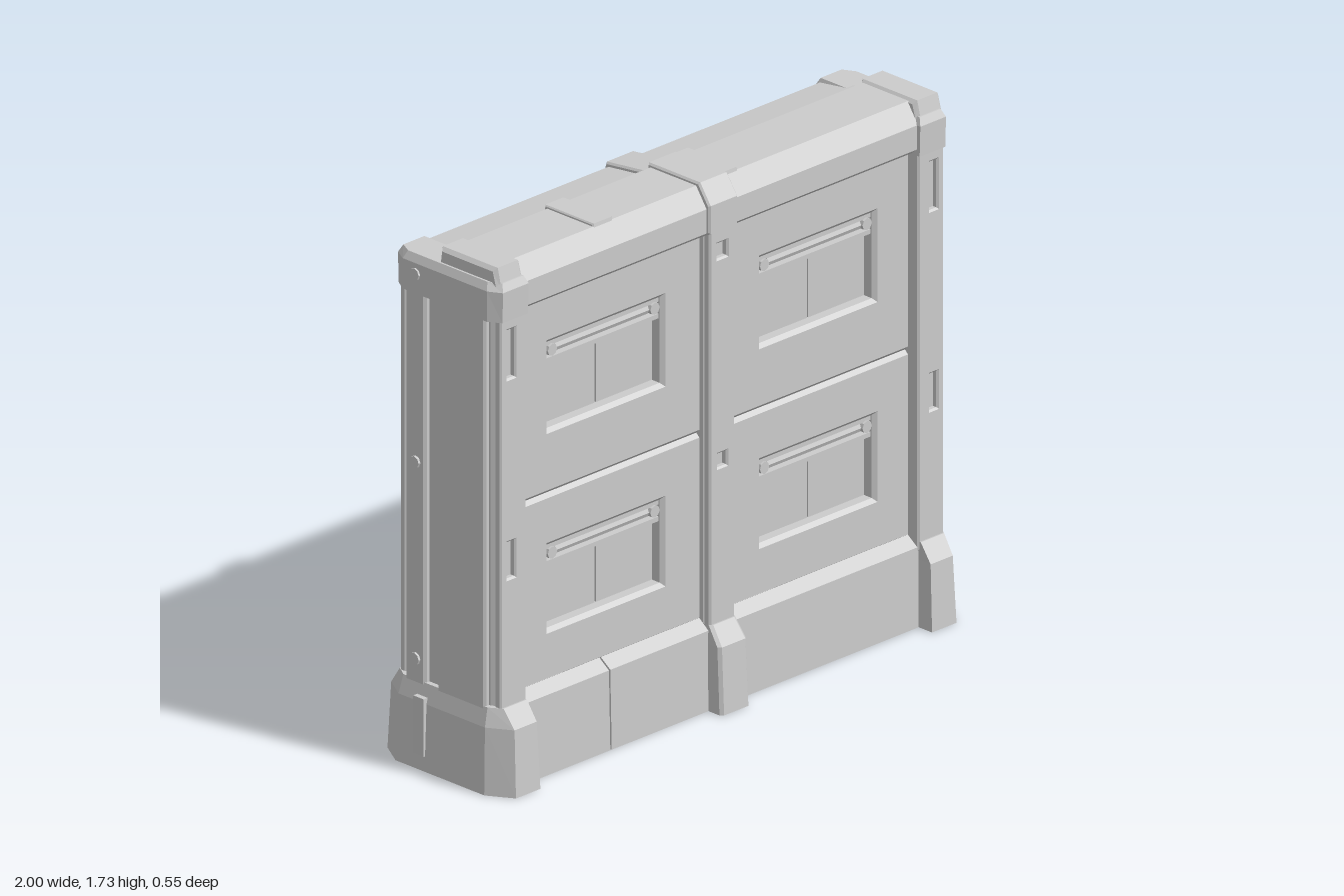
import * as THREE from 'three';

const mat = new THREE.MeshStandardMaterial({ color: 0xcccccc, flatShading: true });

function add(parent, name, geo, x = 0, y = 0, z = 0) {
  const m = new THREE.Mesh(geo, mat);
  m.name = name;
  m.position.set(x, y, z);
  parent.add(m);
  return m;
}

function box(parent, name, x0, x1, y0, y1, z0, z1) {
  return add(parent, name, new THREE.BoxGeometry(x1 - x0, y1 - y0, z1 - z0),
    (x0 + x1) / 2, (y0 + y1) / 2, (z0 + z1) / 2);
}

const rect = (C, x0, x1, y0, y1) =>
  new C([[x0, y0], [x1, y0], [x1, y1], [x0, y1]].map(p => new THREE.Vector2(...p)));

// Flat plate in the xy plane with rectangular holes and bevelled rims
function plate(x0, x1, y0, y1, thick, bevel, holes) {
  const s = rect(THREE.Shape, x0, x1, y0, y1);
  s.holes = holes.map(h => rect(THREE.Path, ...h));
  return new THREE.ExtrudeGeometry(s, {
    depth: thick - bevel, bevelEnabled: true, bevelThickness: bevel,
    bevelSize: bevel, bevelOffset: -bevel, bevelSegments: 1,
  });
}

// Profile of [z, y] points swept along x from x0 to x1, ends optionally chamfered
function sweep(profile, x0, x1, bevel = 0) {
  const s = new THREE.Shape(profile.map(([z, y]) => new THREE.Vector2(-z, y)));
  const g = new THREE.ExtrudeGeometry(s, {
    depth: x1 - x0 - 2 * bevel, bevelEnabled: bevel > 0, bevelThickness: bevel,
    bevelSize: bevel, bevelOffset: -bevel, bevelSegments: 1,
  });
  return g.rotateY(Math.PI / 2).translate(x0 + bevel, 0, 0);
}

// Convex plan outlines of [x, z] points stacked at rising heights
function loft(levels) {
  const pos = [], n = levels[0].plan.length;
  const put = (l, i) => pos.push(l.plan[i % n][0], l.y, l.plan[i % n][1]);
  for (let k = 0; k < levels.length - 1; k++) {
    const a = levels[k], b = levels[k + 1];
    for (let i = 0; i < n; i++) {
      put(a, i); put(a, i + 1); put(b, i + 1);
      put(a, i); put(b, i + 1); put(b, i);
    }
  }
  const lo = levels[0], hi = levels[levels.length - 1];
  for (let i = 1; i < n - 1; i++) {
    put(lo, 0); put(lo, i + 1); put(lo, i);
    put(hi, 0); put(hi, i); put(hi, i + 1);
  }
  const g = new THREE.BufferGeometry();
  g.setAttribute('position', new THREE.Float32BufferAttribute(pos, 3));
  g.computeVertexNormals();
  return g;
}

// End post outline: inner edge xi, chamfer from (xa, zb) to (xb, za)
const endPlan = (y, xi, xa, xb, za, zb) => ({
  y, plan: [[xi, zb], [xa, zb], [xb, za], [xb, -za], [xa, -zb], [xi, -zb]],
});
const midPlan = (y, x, z) => ({
  y, plan: [[-x, z - 0.01], [-x + 0.01, z], [x - 0.01, z], [x, z - 0.01],
    [x, -z + 0.01], [x - 0.01, -z], [-x + 0.01, -z], [-x, -z + 0.01]],
});

// Cross-section of the top rail: high ridge at the front, lower step behind
const railProfile = o => [
  [0.185, 1.555], [0.21 + o, 1.575], [0.21 + o, 1.655 + o], [0.165 + o, 1.72 + o],
  [-0.03 - o, 1.72 + o], [-0.035 - o, 1.688 + o], [-0.21 - o, 1.667 + o],
  [-0.218 - o, 1.655], [-0.218 - o, 1.575], [-0.185, 1.555],
];

// Recessed bay with a split pane and a lamp bar under its head
function windowBay(parent, y0, y1) {
  const g = new THREE.Group();
  g.name = 'windowBay';
  parent.add(g);
  box(g, 'pane', 0.2, 0.452, y0, y1 - 0.08, 0.11, 0.126);
  box(g, 'pane', 0.458, 0.71, y0, y1 - 0.08, 0.11, 0.126);
  box(g, 'lampLedge', 0.212, 0.698, y1 - 0.085, y1 - 0.07, 0.11, 0.155);
  box(g, 'lampHousing', 0.212, 0.698, y1 - 0.03, y1 - 0.01, 0.11, 0.155);
  const bar = add(g, 'lampBar', new THREE.CylinderGeometry(0.018, 0.018, 0.4, 8), 0.455, y1 - 0.045, 0.138);
  bar.rotation.z = Math.PI / 2;
  for (const x of [0.235, 0.675]) {
    const b = add(g, 'lampSocket', new THREE.CylinderGeometry(0.02, 0.02, 0.04, 8), x, y1 - 0.045, 0.142);
    b.rotation.x = Math.PI / 2;
  }
}

// One half of one face: two panels with their bays, and the end post plate
function halfFace() {
  const g = new THREE.Group();
  g.name = 'wallHalf';
  for (const [a, b, y0, y1] of [[0.28, 0.9, 0.44, 0.74], [0.9, 1.575, 1.1, 1.41]]) {
    add(g, 'panel', plate(0.04, 0.86, a, b, 0.06, 0.013,
      [[0.213, 0.697, y0 + 0.013, y1 - 0.013]]), 0, 0, 0.112);
    windowBay(g, y0, y1);
  }
  add(g, 'postPlate', plate(0.84, 0.952, 0.25, 1.58, 0.022, 0.006,
    [[0.89, 0.922, 1.36, 1.52], [0.89, 0.922, 0.7, 0.82]]), 0, 0, 0.195);
  return g;
}

// End of the wall: post, foot, cap and the ribbed end face
function wallEnd() {
  const g = new THREE.Group();
  g.name = 'wallEnd';
  add(g, 'endPost', loft([endPlan(0.2, 0.84, 0.942, 0.955, 0.175, 0.197),
    endPlan(1.6, 0.84, 0.942, 0.955, 0.175, 0.197)]));
  add(g, 'endFoot', loft([
    endPlan(0, 0.84, 0.945, 0.996, 0.19, 0.275),
    endPlan(0.22, 0.845, 0.94, 0.988, 0.185, 0.264),
    endPlan(0.28, 0.845, 0.945, 0.972, 0.18, 0.222)]));
  add(g, 'endCap', loft([
    endPlan(1.555, 0.84, 0.95, 0.975, 0.18, 0.222),
    endPlan(1.655, 0.84, 0.95, 0.975, 0.18, 0.225),
    endPlan(1.68, 0.85, 0.94, 0.962, 0.17, 0.212)]));
  add(g, 'endCapRidge', sweep([[0.212, 1.66], [0.195, 1.728], [-0.04, 1.728], [-0.05, 1.66]], 0.845, 0.955, 0.012));
  add(g, 'endSlab', sweep([[0.17, 0.25], [0.17, 1.6], [-0.035, 1.6], [-0.035, 0.25]], 0.93, 0.974, 0.008));
  add(g, 'endStrip', sweep([[-0.085, 0.25], [-0.085, 1.6], [-0.172, 1.6], [-0.172, 0.25]], 0.93, 0.974, 0.008));
  box(g, 'footLatch', 0.97, 1.0, 0.05, 0.24, -0.11, -0.065);
  for (const y of [0.35, 1.0, 1.62]) {
    const b = add(g, 'endBolt', new THREE.CylinderGeometry(0.02, 0.02, 0.012, 8), 0.976, y, -0.125);
    b.rotation.z = Math.PI / 2;
  }
  return g;
}

export function createModel() {
  const model = new THREE.Group();
  model.name = 'barrierWall';

  // Solid core behind the panels
  box(model, 'core', -0.9, 0.9, 0.02, 1.6, -0.115, 0.115);

  // Front and back faces, mirrored left and right
  for (const back of [0, 1]) {
    const face = new THREE.Group();
    face.name = back ? 'backFace' : 'frontFace';
    face.rotation.y = back * Math.PI;
    model.add(face);
    for (const s of [1, -1]) {
      const h = halfFace();
      h.scale.x = s;
      face.add(h);
    }
    add(face, 'middlePostPlate', plate(-0.055, 0.055, 0.25, 1.6, 0.022, 0.006,
      [[-0.02, 0.02, 1.48, 1.53], [-0.018, 0.018, 0.79, 0.835]]), 0, 0, 0.195);

    // Plinth with a sloped ledge and one joint
    const plinth = [[0.006, 0], [0.218, 0], [0.212, 0.262], [0.16, 0.3], [0.006, 0.3]];
    const joint = back ? 0.48 : -0.48;
    add(face, 'plinth', sweep(plinth, -0.88, joint - 0.003));
    add(face, 'plinth', sweep(plinth, joint + 0.003, 0.88));
  }

  // Wall ends
  for (const s of [1, -1]) {
    const e = wallEnd();
    e.scale.x = s;
    model.add(e);
  }

  // Middle post with a flared foot
  add(model, 'middlePost', loft([midPlan(0.2, 0.055, 0.197), midPlan(1.6, 0.055, 0.197)]));
  add(model, 'middleFoot', loft([midPlan(0, 0.062, 0.275), midPlan(0.22, 0.06, 0.264), midPlan(0.28, 0.055, 0.222)]));

  // Top rail, middle cap and clamps
  add(model, 'topRail', sweep(railProfile(0), -0.88, 0.88));
  add(model, 'middleCap', sweep(railProfile(0.012), -0.062, 0.062, 0.006));
  const clamp = [[0.172, 1.69], [0.165, 1.729], [-0.042, 1.729], [-0.045, 1.68]];
  add(model, 'topClamp', sweep(clamp, -0.505, -0.42, 0.004));
  add(model, 'topClamp', sweep(clamp, 0.05, 0.115, 0.004));

  return model;
}
